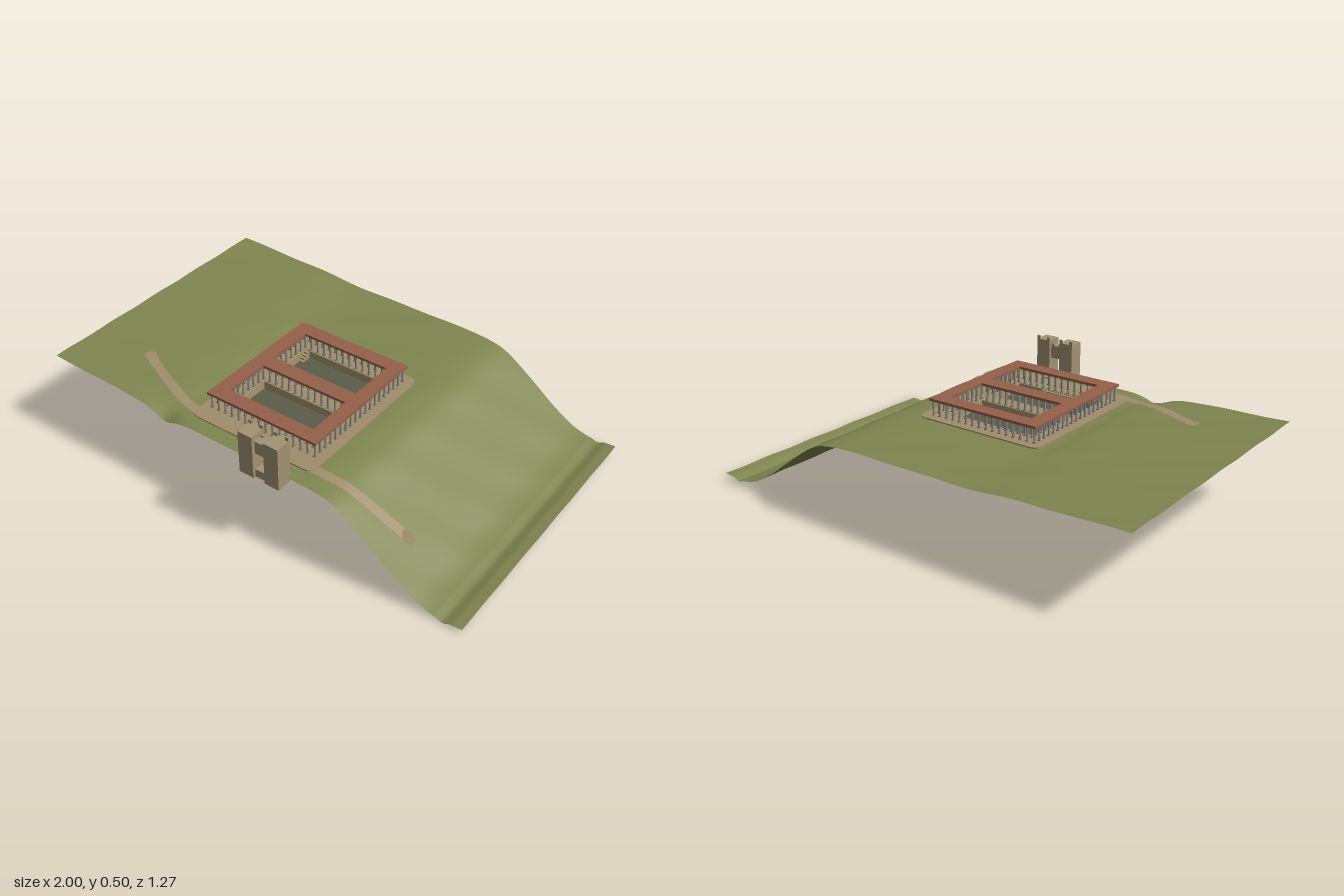
import * as THREE from 'three';

const mat = (name, color, side = THREE.FrontSide) => {
  const m = new THREE.MeshStandardMaterial({ color, side });
  m.name = name;
  return m;
};
const smooth = (a, b, v) => THREE.MathUtils.smoothstep(v, a, b);

// Ground section along x: [x, height]
const SECTION = [[-1, .36], [-.75, .352], [-.5, .343], [-.3, .33], [0, .33], [.3, .326], [.4, .315],
  [.45, .296], [.5, .265], [.6, .19], [.7, .113], [.8, .05], [.86, .028], [.9, .02], [.92, .01], [.94, .023], [1, .03]];

function baseHeight(x) {
  let i = 0;
  while (i < SECTION.length - 2 && x > SECTION[i + 1][0]) i++;
  const at = k => SECTION[Math.max(0, Math.min(SECTION.length - 1, k))];
  const [x0, y0] = at(i), [x1, y1] = at(i + 1);
  const slope = k => {
    const a = at(k - 1), b = at(k + 1);
    return (b[1] - a[1]) / (b[0] - a[0]);
  };
  const w = x1 - x0, t = (x - x0) / w, t2 = t * t, t3 = t2 * t;
  return (2 * t3 - 3 * t2 + 1) * y0 + (t3 - 2 * t2 + t) * w * slope(i)
    + (3 * t2 - 2 * t3) * y1 + (t3 - t2) * w * slope(i + 1);
}

// Ground height, levelled around the terrace, with a gully and a raised front corner
function height(x, z) {
  let h = baseHeight(x);
  h -= .012 * z * smooth(.5, .9, x);
  h += .035 * smooth(.42, .6, z) * smooth(-.5, -.85, x) * (x < -.5 ? 1 : 0);
  h -= .04 * Math.exp(-(((x + .38) / .08) ** 2) - ((z - .61) / .07) ** 2);
  h += .0015 * Math.sin(17 * x + 23 * z);
  const dx = Math.max(-.31 - x, 0, x - .28), dz = Math.max(-.2 - z, 0, z - .54);
  return THREE.MathUtils.lerp(.327, h, smooth(0, .1, Math.hypot(dx, dz)));
}

const COURTS = [{ z0: -.1, z1: .11 }, { z0: .18, z1: .385 }];
const CX0 = -.22, CX1 = .19;

function lines(a, b, step, cuts) {
  const out = [];
  const n = Math.round((b - a) / step);
  for (let i = 0; i <= n; i++) out.push(a + (b - a) * i / n);
  return out.filter(v => cuts.every(c => Math.abs(v - c) > .004)).concat(cuts).sort((p, q) => p - q);
}

function terrainGeometry() {
  const xs = lines(-1, 1, .018, [-.29, .26]), zs = lines(-.637, .59, .02, [-.17, .49]);
  const pos = [], idx = [], n = xs.length;
  for (const z of zs) for (const x of xs) pos.push(x, height(x, z), z);
  for (let j = 0; j < zs.length - 1; j++) for (let i = 0; i < n - 1; i++) {
    const x = (xs[i] + xs[i + 1]) / 2, z = (zs[j] + zs[j + 1]) / 2;
    if (x > -.29 && x < .26 && z > -.17 && z < .49) continue;
    const a = j * n + i;
    idx.push(a, a + n, a + 1, a + 1, a + n, a + n + 1);
  }
  const g = new THREE.BufferGeometry();
  g.setAttribute('position', new THREE.Float32BufferAttribute(pos, 3));
  g.setIndex(idx);
  g.computeVertexNormals();
  return g;
}

// Ribbon laid over the ground along a curve
function pathGeometry(points, width) {
  const curve = new THREE.CatmullRomCurve3(points.map(([x, z]) => new THREE.Vector3(x, 0, z)));
  const g = new THREE.PlaneGeometry(1, 1, 4, 60), p = g.attributes.position;
  for (let i = 0; i < p.count; i++) {
    const t = .5 - p.getY(i), c = curve.getPoint(t), d = curve.getTangent(t), o = p.getX(i) * width;
    const x = c.x - d.z * o, z = c.z + d.x * o;
    p.setXYZ(i, x, height(x, z) + .004, z);
  }
  g.computeVertexNormals();
  return g;
}

function rect(x0, z0, x1, z1, r, Type = THREE.Shape) {
  const s = new Type();
  s.moveTo(x0 + r, z0);
  s.lineTo(x1 - r, z0);
  s.quadraticCurveTo(x1, z0, x1, z0 + r);
  s.lineTo(x1, z1 - r);
  s.quadraticCurveTo(x1, z1, x1 - r, z1);
  s.lineTo(x0 + r, z1);
  s.quadraticCurveTo(x0, z1, x0, z1 - r);
  s.lineTo(x0, z0 + r);
  s.quadraticCurveTo(x0, z0, x0 + r, z0);
  return s;
}

// Flat slab with the two courtyards cut out; its top lies at y = 0
function slab(shape, depth) {
  for (const c of COURTS) shape.holes.push(rect(CX0, c.z0, CX1, c.z1, 0, THREE.Path));
  return new THREE.ExtrudeGeometry(shape, { depth, bevelEnabled: false, curveSegments: 6 }).rotateX(Math.PI / 2);
}

export function createModel() {
  const root = new THREE.Group();
  const grass = mat('grass', 0x7f8551, THREE.DoubleSide);
  const earth = mat('path earth', 0xa08d6c, THREE.DoubleSide);
  const tile = mat('roof tile', 0x96604c);
  const stone = mat('gate stone', 0xa39375);
  const wall = mat('court wall', 0xa69570, THREE.DoubleSide);
  const paving = mat('court floor', 0x5c5c4b, THREE.DoubleSide);
  const column = mat('column', 0x8d8982);

  const add = (name, geo, m, parent = root, x = 0, y = 0, z = 0) => {
    const mesh = new THREE.Mesh(geo, m);
    mesh.name = name;
    mesh.position.set(x, y, z);
    parent.add(mesh);
    return mesh;
  };
  const box = (name, x0, x1, y0, y1, z0, z1, m, parent) => add(name, new THREE.BoxGeometry(x1 - x0, y1 - y0, z1 - z0),
    m, parent, (x0 + x1) / 2, (y0 + y1) / 2, (z0 + z1) / 2);
  const group = name => {
    const g = new THREE.Group();
    g.name = name;
    root.add(g);
    return g;
  };

  add('hillside', terrainGeometry(), grass);

  // Terrace and the two paths running down from it
  add('terrace', slab(rect(-.315, -.195, .285, .52, .04), .008), earth, root, 0, .332, 0);
  const arms = { westPath: [[-.69, .35], [-.56, .41], [-.4, .47], [-.27, .492], [-.1, .497]],
    eastPath: [[.1, .497], [.27, .497], [.42, .485], [.55, .458], [.66, .425]] };
  for (const [name, pts] of Object.entries(arms)) {
    add(name, pathGeometry(pts, .042), earth);
    const [x, z] = name === 'westPath' ? pts[0] : pts[4];
    const disc = new THREE.CircleGeometry(.026, 16).rotateX(-Math.PI / 2), p = disc.attributes.position;
    for (let i = 0; i < p.count; i++) p.setY(i, height(x + p.getX(i), z + p.getZ(i)) + .005);
    add(name + 'End', disc, earth, root, x, 0, z);
  }

  // Sunken courtyards
  COURTS.forEach(({ z0, z1 }, i) => {
    const g = group(i ? 'frontCourt' : 'backCourt');
    const ring = rect(CX0, z0, CX1, z1, 0);
    ring.holes.push(rect(CX0 + .004, z0 + .004, CX1 - .004, z1 - .004, 0, THREE.Path));
    add('courtWalls', new THREE.ExtrudeGeometry(ring, { depth: .04, bevelEnabled: false }).rotateX(Math.PI / 2), wall, g, 0, .331, 0);
    box('courtFloor', CX0 + .001, CX1 - .001, .291, .296, z0 + .001, z1 - .001, paving, g);
  });
  for (let i = 0; i < 4; i++) {
    box('frontCourtStep', -.1, .06, .295, .304 + i * .008, .33 + i * .0125, .381, wall);
    for (const x of [CX0 + .004, CX1 - .022])
      box('backCourtStep', x, x + .018, .295, .304 + i * .008, -.096, -.045 - i * .0125, wall);
  }

  // Roof over the covered walks
  add('roof', slab(rect(-.285, -.165, .25, .45, 0), .011), tile, root, 0, .407, 0);

  // Colonnades: outer row and one row around each courtyard
  const spots = [];
  const row = (x0, z0, x1, z1) => {
    const nx = Math.round((x1 - x0) / .033), nz = Math.round((z1 - z0) / .033);
    for (let i = 0; i <= nx; i++) for (const z of [z0, z1]) spots.push([x0 + (x1 - x0) * i / nx, z]);
    for (let i = 1; i < nz; i++) for (const x of [x0, x1]) spots.push([x, z0 + (z1 - z0) * i / nz]);
  };
  row(-.272, -.152, .237, .437);
  for (const c of COURTS) row(CX0 - .009, c.z0 - .009, CX1 + .009, c.z1 + .009);
  const shaft = new THREE.CylinderGeometry(.0035, .0042, .066, 8);
  const block = new THREE.BoxGeometry(.012, .005, .012);
  const colonnade = group('colonnade');
  for (const [x, z] of spots) {
    add('columnShaft', shaft, column, colonnade, x, .364, z);
    add('columnBase', block, column, colonnade, x, .334, z);
    add('columnCapital', block, column, colonnade, x, .394, z);
  }

  // Gatehouse: two towers joined by a bridge over the opening
  const gate = group('gatehouse');
  for (const x of [.035, .155]) {
    box('tower', x, x + .067, .295, .487, .566, .637, stone, gate);
    for (const mx of [x, x + .052]) box('merlon', mx, mx + .015, .487, .502, .566, .574, stone, gate);
  }
  box('gateBridge', .102, .155, .405, .462, .58, .622, stone, gate);
  for (const x of [.105, .14]) box('bridgeMerlon', x, x + .012, .462, .472, .58, .59, stone, gate);
  box('gateSill', .102, .155, .295, .33, .575, .625, stone, gate);
  box('gateSteps', .114, .144, .325, .342, .53, .58, stone, gate);
  box('gateLanding', .112, .146, .325, .338, .502, .53, stone, gate);

  return root;
}
